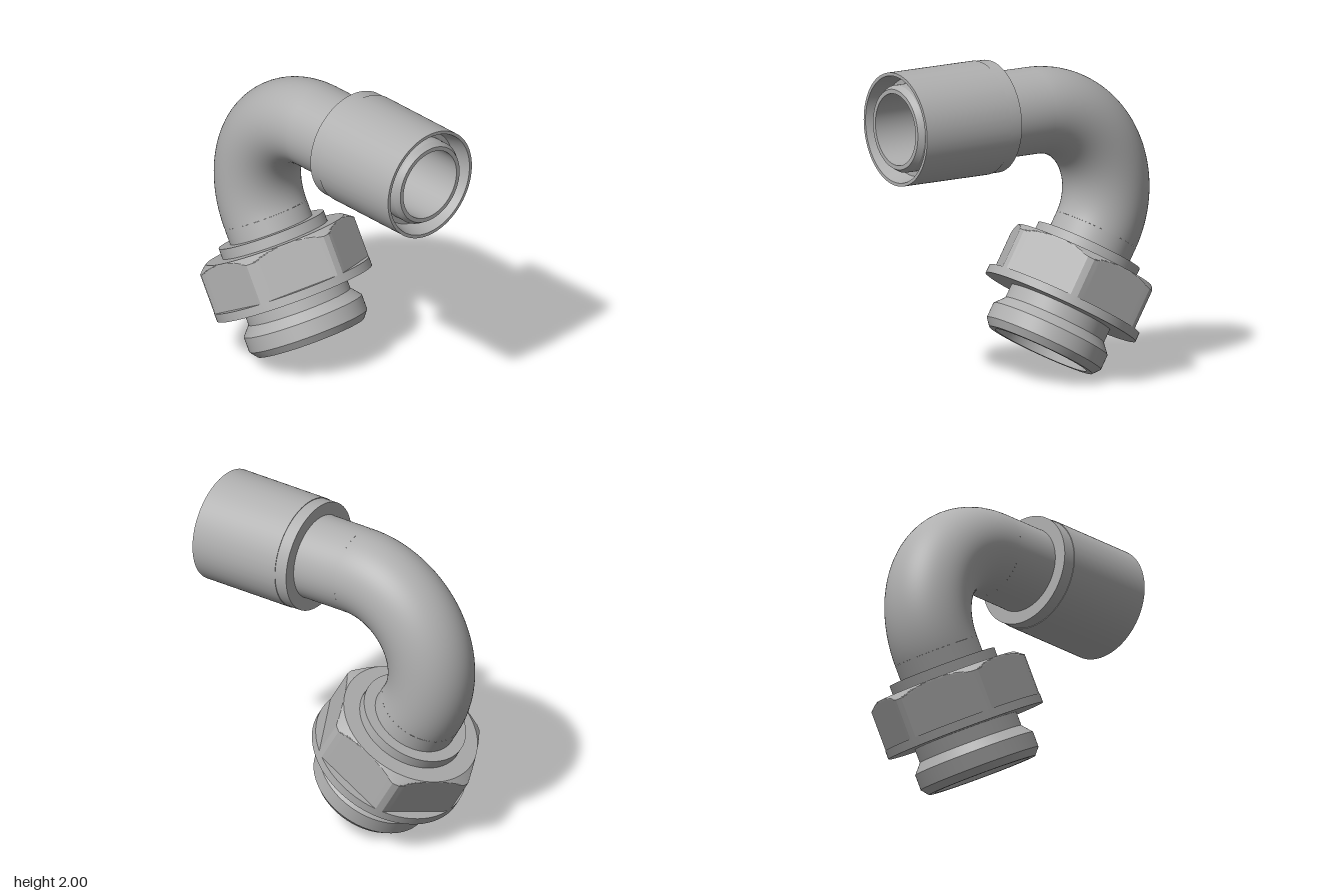
import * as THREE from 'three';
import { toCreasedNormals } from 'three/addons/utils/BufferGeometryUtils.js';

const PIPE_R = 0.262, BORE_R = 0.218, BEND_R = 0.528;
const BEND_CENTER = [-0.1, 1.127, 0];
const CREASE = THREE.MathUtils.degToRad(20);

// Profile points are [radius, height along the axis]
function lathe(profile, segments) {
  return new THREE.LatheGeometry(profile.map(([r, h]) => new THREE.Vector2(r, h)), segments);
}

// Hex nut: a turned blank cut by six flats, so the corners keep a chamfer curve
function nutGeometry() {
  const flat = 0.44, corner = 0.495, steps = 8;
  const profile = [[corner, 0.34], [corner, 0.59]];
  for (let i = 1; i <= steps; i++) {
    const t = i / steps;
    profile.push([corner + (flat - corner) * t, 0.59 + 0.04 * t]);
  }
  profile.push([0.3, 0.63]);
  const geo = lathe(profile, 144);
  const pos = geo.attributes.position;
  const sector = Math.PI / 3;
  for (let i = 0; i < pos.count; i++) {
    const x = pos.getX(i), z = pos.getZ(i);
    const r = Math.hypot(x, z), angle = Math.atan2(x, z);
    const off = angle - Math.round(angle / sector) * sector;
    const k = Math.min(r, flat / Math.cos(off)) / r;
    pos.setX(i, x * k);
    pos.setZ(i, z * k);
  }
  return geo;
}

// 120 degree elbow surface; inward = true turns its faces to the inside
function bendGeometry(radius, inward) {
  const geo = new THREE.TorusGeometry(BEND_R, radius, 64, 72, Math.PI * 2 / 3);
  geo.rotateZ(Math.PI / 2);
  if (inward) {
    const idx = geo.index.array;
    for (let i = 0; i < idx.length; i += 3) [idx[i], idx[i + 1]] = [idx[i + 1], idx[i]];
    const n = geo.attributes.normal.array;
    for (let i = 0; i < n.length; i++) n[i] = -n[i];
  }
  return geo;
}

export function createModel() {
  const metal = new THREE.MeshStandardMaterial({ color: 0xb0b0b0 });
  metal.name = 'grey metal';
  const model = new THREE.Group();
  model.name = 'elbowFitting';

  const add = (parent, name, geo) => {
    const mesh = new THREE.Mesh(geo, metal);
    mesh.name = name;
    parent.add(mesh);
    return mesh;
  };

  // Curved pipe, outside and bore
  add(model, 'elbowOuter', bendGeometry(PIPE_R, false)).position.set(...BEND_CENTER);
  add(model, 'elbowBore', bendGeometry(BORE_R, true)).position.set(...BEND_CENTER);

  // Straight pipe with the sleeve and its grooved mouth
  const sleeve = add(model, 'sleeveAndPipe', toCreasedNormals(lathe([
    [PIPE_R, 0], [PIPE_R, 0.3], [0.341, 0.3], [0.341, 0.38], [0.345, 0.38],
    [0.345, 0.985], [0.325, 0.985], [0.297, 0.87], [0.265, 0.87], [0.265, 0.95],
    [0.244, 0.985], [BORE_R, 0.985], [BORE_R, 0],
  ], 96), CREASE));
  sleeve.rotation.z = -Math.PI / 2;
  sleeve.position.set(-0.1, 1.655, 0);

  // Tilted lower connector
  const connector = new THREE.Group();
  connector.name = 'connector';
  connector.position.set(-0.16, 0.175, 0);
  connector.rotation.z = Math.PI / 6;
  model.add(connector);

  // Conical bore, spigot, groove, flange and collar
  add(connector, 'spigotAndFlange', toCreasedNormals(lathe([
    [BORE_R, 0.794], [BORE_R, 0.38], [0.3, 0], [0.34, 0], [0.377, 0.045],
    [0.377, 0.14], [0.325, 0.2], [0.325, 0.285], [0.495, 0.285], [0.495, 0.34],
    [0.335, 0.34], [0.335, 0.695], [PIPE_R, 0.695], [PIPE_R, 0.794],
  ], 96), CREASE));
  add(connector, 'hexNut', toCreasedNormals(nutGeometry(), CREASE));

  return model;
}
